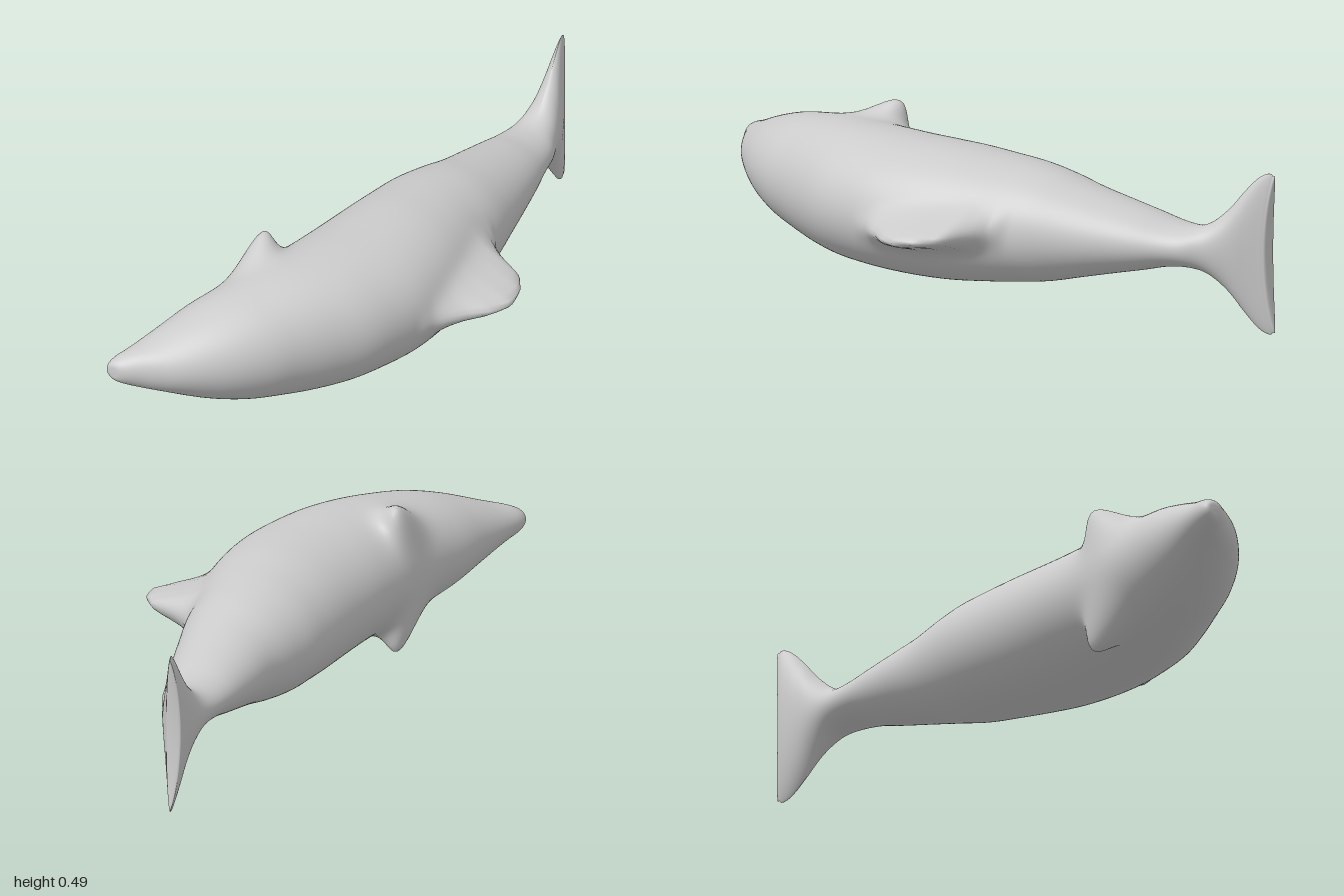
import * as THREE from 'three';
import { mergeVertices } from 'three/addons/utils/BufferGeometryUtils.js';

const MID = 0.255; // height of the symmetry plane (the animal lies on its side)

// x, half width in y, belly z, back z
const sections = [
  [-1, 0, -0.335, -0.335], [-0.995, 0.026, -0.358, -0.3], [-0.965, 0.047, -0.366, -0.25],
  [-0.9, 0.075, -0.358, -0.15], [-0.8, 0.12, -0.345, -0.045], [-0.7, 0.155, -0.336, 0.028],
  [-0.6, 0.177, -0.32, 0.08], [-0.5, 0.193, -0.308, 0.13], [-0.4, 0.2, -0.296, 0.175],
  [-0.3, 0.203, -0.29, 0.2], [-0.2, 0.203, -0.288, 0.216], [-0.1, 0.203, -0.286, 0.212],
  [0, 0.2, -0.286, 0.195], [0.1, 0.191, -0.286, 0.167], [0.2, 0.18, -0.284, 0.133],
  [0.3, 0.163, -0.27, 0.105], [0.4, 0.137, -0.254, 0.07], [0.5, 0.112, -0.25, 0.035],
  [0.6, 0.088, -0.245, -0.002], [0.68, 0.068, -0.24, -0.035], [0.75, 0.063, -0.235, -0.062],
  // flukes
  [0.8, 0.08, -0.234, -0.09], [0.85, 0.128, -0.234, -0.115], [0.89, 0.19, -0.234, -0.138],
  [0.92, 0.23, -0.236, -0.158], [0.945, 0.246, -0.238, -0.175], [0.96, 0.24, -0.238, -0.185],
  [0.968, 0.215, -0.234, -0.193], [0.97, 0, -0.213, -0.213],
];

// dorsal fin: x, height above the back
const finProfile = [[-0.24, 0], [-0.18, 0.014], [-0.1, 0.075], [-0.05, 0.125], [0.015, 0.167],
  [0.085, 0.167], [0.14, 0.14], [0.17, 0.07], [0.2, 0.025], [0.25, 0]];

const curve = (pick) => new THREE.CatmullRomCurve3(
  sections.map((s) => new THREE.Vector3(...pick(s))), false, 'catmullrom', 0.5);

function finHeight(x) {
  for (let i = 1; i < finProfile.length; i++) {
    const [x0, h0] = finProfile[i - 1], [x1, h1] = finProfile[i];
    if (x >= x0 && x <= x1) return h0 + (h1 - h0) * (x - x0) / (x1 - x0);
  }
  return 0;
}

// Swells the flippers and dorsal fin smoothly out of the body
function swell(p) {
  const side = Math.sign(p.y);
  const dx = p.x + 0.45, dy = Math.abs(p.y) - 0.13, dz = p.z + 0.235;
  const flipper = Math.exp(-(dx * dx / 0.0045 + dy * dy / 0.006 + dz * dz / 0.004));
  if (p.z > 0) {
    const off = (p.y - 0.1 * p.x) / 0.045;
    p.z += finHeight(p.x) * Math.exp(-off * off);
  }
  p.x += 0.055 * flipper;
  p.y += side * 0.088 * flipper;
  p.z -= 0.012 * flipper;
}

function bodyGeometry(rings = 224, around = 112) {
  const belly = curve(([x, h, z]) => [x, h, z]);
  const back = curve(([x, h, , z]) => [x, h, z]);
  const positions = [], index = [], p = new THREE.Vector3();
  for (let i = 0; i <= rings; i++) {
    const a = belly.getPoint(i / rings), b = back.getPoint(i / rings);
    const half = Math.max(0, a.y), cz = (a.z + b.z) / 2, hz = (b.z - a.z) / 2;
    const tail = THREE.MathUtils.smoothstep(a.x, 0.74, 0.9);
    for (let j = 0; j < around; j++) {
      const t = j / around * Math.PI * 2, c = Math.cos(t), s = Math.sin(t);
      // sections thin toward the fluke tips, which sweep back a little
      p.set(a.x, half * c, cz + hz * Math.sign(s) * Math.abs(s) ** (1 + 0.5 * tail));
      p.x += 0.025 * tail * (p.y / 0.245) ** 2;
      swell(p);
      positions.push(p.x, p.y + MID, p.z);
      if (i === rings) continue;
      const k = i * around + j, n = i * around + (j + 1) % around;
      index.push(k, n, k + around, n, n + around, k + around);
    }
  }
  const geometry = new THREE.BufferGeometry();
  geometry.setAttribute('position', new THREE.Float32BufferAttribute(positions, 3));
  geometry.setIndex(index);
  const merged = mergeVertices(geometry, 1e-5);
  merged.computeVertexNormals();
  return merged;
}

export function createModel() {
  const group = new THREE.Group();
  group.name = 'whale';
  const body = new THREE.Mesh(bodyGeometry(), new THREE.MeshStandardMaterial({ color: 0xcccccc }));
  body.name = 'bodyWithFinsAndFlukes';
  group.add(body);
  return group;
}
